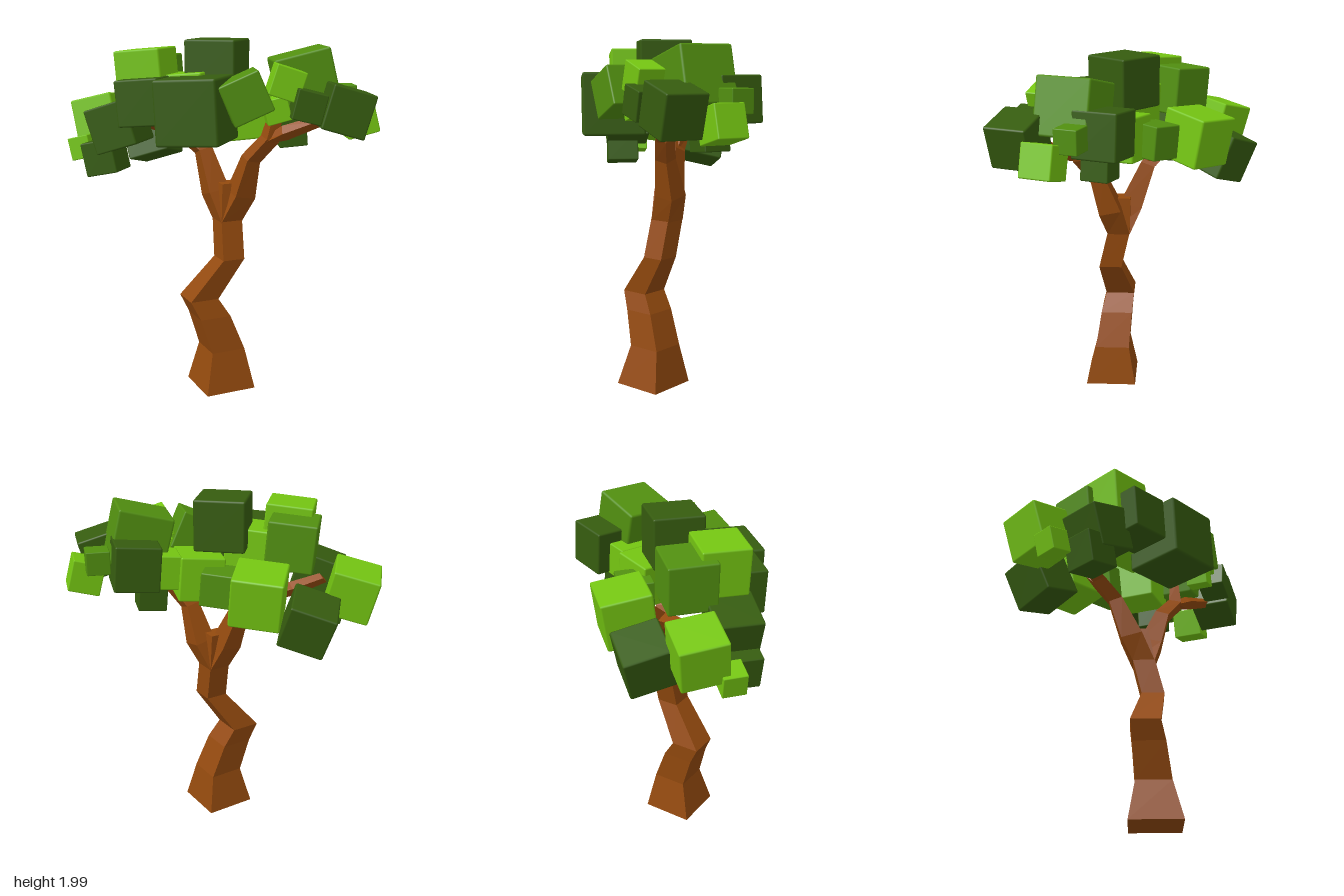
import * as THREE from 'three';
import { RoundedBoxGeometry } from 'three/addons/geometries/RoundedBoxGeometry.js';

const bark = new THREE.MeshStandardMaterial({ color: 0x944a0e, flatShading: true });
const UP = new THREE.Vector3(0, 1, 0);
const CORNER = 0.495; // angle of the first corner of each square section

// Square-section limb through rings [x, y, z, radius]; tilt turns rings along the path
function limb(name, rings, tilt) {
  const pts = rings.map(([x, y, z]) => new THREE.Vector3(x, y, z));
  const pos = [], idx = [];
  rings.forEach((ring, k) => {
    const dir = pts[Math.min(k + 1, pts.length - 1)].clone().sub(pts[Math.max(k - 1, 0)]).normalize();
    const q = new THREE.Quaternion();
    if (k > 0) q.slerp(new THREE.Quaternion().setFromUnitVectors(UP, dir), tilt);
    for (let i = 0; i < 4; i++) {
      const a = CORNER + i * Math.PI / 2;
      const p = new THREE.Vector3(Math.cos(a), 0, Math.sin(a)).multiplyScalar(ring[3]).applyQuaternion(q).add(pts[k]);
      pos.push(p.x, p.y, p.z);
      if (k > 0) {
        const b = (k - 1) * 4 + i, c = (k - 1) * 4 + (i + 1) % 4;
        idx.push(b, b + 4, c, b + 4, c + 4, c);
      }
    }
  });
  const t = (rings.length - 1) * 4;
  idx.push(0, 1, 2, 0, 2, 3, t, t + 2, t + 1, t, t + 3, t + 2);
  const g = new THREE.BufferGeometry();
  g.setAttribute('position', new THREE.Float32BufferAttribute(pos, 3));
  g.setIndex(idx);
  g.computeVertexNormals();
  const mesh = new THREE.Mesh(g, bark);
  mesh.name = name;
  return mesh;
}

// Cube of leaves; yaw and pitch follow from its place in the crown, roll is in degrees
function leafBlock(name, material, [x, y, z, size, roll = 5]) {
  const block = new THREE.Mesh(new RoundedBoxGeometry(size, size, size, 1, size * 0.04), material);
  block.name = name;
  block.position.set(x, y, z);
  const yaw = x < 0.07 ? -26 : -3;
  const pitch = z < 0 ? -80 * z * z : 0; // blocks at the back lean outwards
  block.rotation.set(...[pitch, yaw, roll].map(THREE.MathUtils.degToRad), 'YXZ');
  return block;
}

// Leaf blocks by shade: x, y, z, size and, where it is not slight, roll
const SHADES = {
  dark: {
    color: 0x365c0f,
    blocks: [
      [-0.36, 1.395, -0.405, 0.26, 18], [-0.565, 1.52, 0.01, 0.255, 18], [-0.645, 1.345, 0, 0.19, 12],
      [-0.42, 1.67, 0.18, 0.25], [-0.165, 1.635, 0.33, 0.348, 3], [-0.02, 1.85, 0.08, 0.287, 0],
      [0.50, 1.67, 0, 0.25], [0.615, 1.635, 0.425, 0.24, -16], [0.405, 1.665, 0.465, 0.16, -14],
      [0.405, 1.475, 0.06, 0.16],
    ],
  },
  mid: {
    color: 0x529010,
    blocks: [
      [-0.36, 1.76, -0.12, 0.27], [0.06, 1.545, -0.13, 0.19], [0.08, 1.71, 0.415, 0.225, 24],
      [0.445, 1.775, 0.185, 0.31, 14], [0.69, 1.675, 0.10, 0.13, 0],
    ],
  },
  light: {
    color: 0x75c612,
    blocks: [
      [-0.65, 1.515, -0.30, 0.26, 14], [-0.765, 1.37, -0.175, 0.13, 14], [-0.10, 1.545, -0.325, 0.28],
      [-0.405, 1.81, 0.06, 0.265], [-0.18, 1.69, 0.10, 0.25], [0.14, 1.57, 0.04, 0.25],
      [0.35, 1.62, 0.04, 0.19], [0.30, 1.78, 0.40, 0.165, -18], [0.25, 1.64, 0.40, 0.13, 15],
      [0.745, 1.565, 0.225, 0.18, 15],
    ],
  },
};

export function createModel() {
  const tree = new THREE.Group();
  tree.name = 'tree';

  // Crooked trunk, widest at the foot
  tree.add(limb('trunk', [
    [-0.01, 0, 0.165, 0.21], [-0.005, 0.23, 0.155, 0.142], [-0.075, 0.43, 0.152, 0.13],
    [-0.135, 0.535, 0.15, 0.119], [0.04, 0.765, 0.147, 0.092], [0.035, 0.985, 0.095, 0.09],
  ], 0));

  // Forked branches with twigs reaching into the leaves
  const fork = [0.035, 0.975, 0.095, 0.09];
  tree.add(limb('crotch', [fork, [0.035, 1.19, 0.075, 0.07]], 0));
  tree.add(limb('leftBranch', [
    fork, [0.11, 1.13, 0.12, 0.088], [0.155, 1.34, 0.18, 0.057],
    [0.25, 1.46, 0.24, 0.055], [0.29, 1.63, 0.23, 0.035],
  ], 0.7));
  tree.add(limb('leftTwig', [[0.23, 1.44, 0.23, 0.045], [0.32, 1.50, 0.30, 0.042], [0.48, 1.57, 0.38, 0.032]], 1));
  tree.add(limb('rightBranch', [
    fork, [-0.025, 1.13, 0.04, 0.088], [-0.085, 1.36, -0.04, 0.057],
    [-0.20, 1.46, -0.11, 0.052], [-0.36, 1.50, -0.15, 0.042], [-0.52, 1.56, -0.19, 0.032],
  ], 0.7));
  tree.add(limb('rightTwig', [[-0.09, 1.36, -0.05, 0.05], [-0.14, 1.47, -0.13, 0.045], [-0.14, 1.58, -0.25, 0.035]], 1));

  // Crown of leaf blocks with softly bevelled edges
  const crown = new THREE.Group();
  crown.name = 'crown';
  for (const [shade, { color, blocks }] of Object.entries(SHADES)) {
    const material = new THREE.MeshStandardMaterial({ color });
    for (const block of blocks) crown.add(leafBlock(`${shade}LeafBlock`, material, block));
  }
  tree.add(crown);
  return tree;
}
